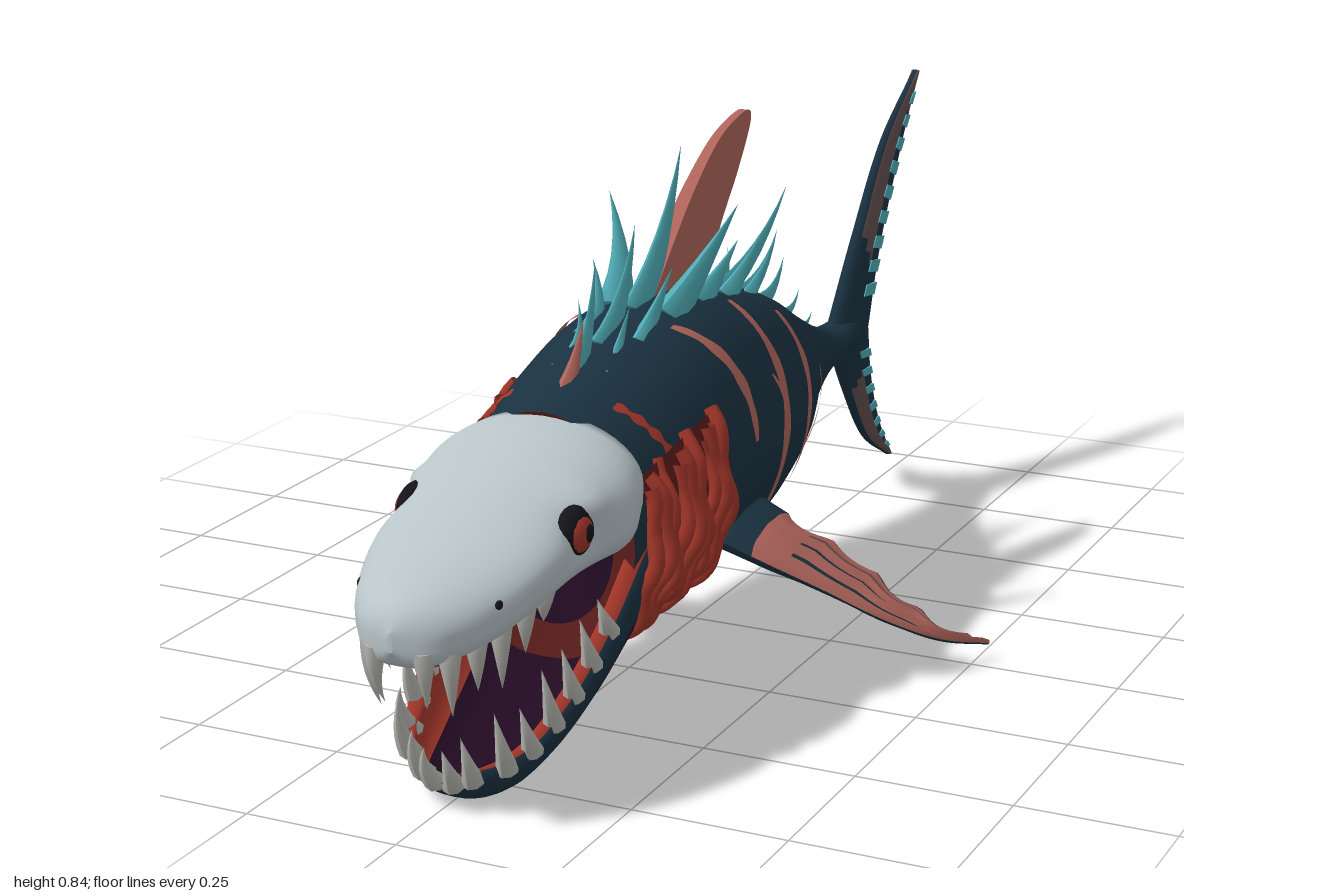
import * as THREE from 'three';

const mat = (name, color) => {
  const m = new THREE.MeshStandardMaterial({ color, side: THREE.DoubleSide });
  m.name = name;
  return m;
};
const M = {
  hide: mat('deep blue hide', 0x1a3140), bone: mat('pale bone', 0xb8c4c8),
  salmon: mat('salmon stripe', 0xb0655b), red: mat('gill red', 0xa33629),
  darkRed: mat('dark red', 0x5a1c1a), cyan: mat('cyan spine', 0x50adb7),
  brown: mat('fin brown', 0x634f50), mouth: mat('mouth purple', 0x210a21),
  tooth: mat('tooth', 0xb5b6b0), black: mat('near black', 0x14141a),
};
const V = (x, y, z) => new THREE.Vector3(x, y, z);
const lerp = THREE.MathUtils.lerp;

// Smooth lookup in a table of rows [z, value, value, ...]
function profile(rows) {
  const size = rows[0].length - 1;
  const c = new THREE.CubicInterpolant(rows.map(r => r[0]), rows.flatMap(r => r.slice(1)), size, new Float32Array(size));
  return z => Array.from(c.evaluate(z));
}

// Closed rings skinned into one smooth mesh; pick(i, j) gives the material number
function loft(name, rings, mats, pick = () => 0) {
  const n = rings[0].length, buckets = mats.map(() => []);
  for (let i = 0; i < rings.length - 1; i++) for (let j = 0; j < n; j++) {
    const k = (j + 1) % n, a = i * n + j, b = i * n + k, c = a + n, d = b + n;
    buckets[pick(i, j)].push(a, b, d, a, d, c);
  }
  const g = new THREE.BufferGeometry().setFromPoints(rings.flat());
  g.setIndex(buckets.flat());
  let start = 0;
  buckets.forEach((b, i) => { g.addGroup(start, b.length, i); start += b.length; });
  g.computeVertexNormals();
  const mesh = new THREE.Mesh(g, mats);
  mesh.name = name;
  return mesh;
}

// Curved tapering spike from base to tip, bowed by the bend vector
function spike(name, base, tip, r, m, bend = V(0, 0, 0), flat = 1) {
  const g = new THREE.ConeGeometry(r, 1, 8, 6), p = g.attributes.position;
  const dir = tip.clone().sub(base);
  const q = new THREE.Quaternion().setFromUnitVectors(V(0, 1, 0), dir.clone().normalize());
  for (let i = 0; i < p.count; i++) {
    const t = p.getY(i) + 0.5;
    const v = V(p.getX(i) * flat, 0, p.getZ(i)).applyQuaternion(q).add(base)
      .addScaledVector(dir, t).addScaledVector(bend, 4 * t * (1 - t));
    p.setXYZ(i, v.x, v.y, v.z);
  }
  g.computeVertexNormals();
  const mesh = new THREE.Mesh(g, m);
  mesh.name = name;
  return mesh;
}

// Upright plate from an outline of [z, y] points
function plate(name, pts, thick, m, smooth = true) {
  const v = pts.map(p => new THREE.Vector2(...p)), s = new THREE.Shape();
  s.moveTo(v[0].x, v[0].y);
  if (smooth) s.splineThru(v.slice(1)); else v.slice(1).forEach(p => s.lineTo(p.x, p.y));
  const g = new THREE.ExtrudeGeometry(s, { depth: thick, bevelEnabled: false, curveSegments: 24 });
  g.translate(0, 0, -thick / 2).rotateY(-Math.PI / 2);
  const mesh = new THREE.Mesh(g, m);
  mesh.name = name;
  return mesh;
}

// Body and skull rows: z, top, bottom, half width
const bodyAt = profile([[-0.74, 0.36, 0.31, 0.012], [-0.66, 0.375, 0.31, 0.03], [-0.58, 0.375, 0.315, 0.043],
  [-0.5, 0.395, 0.295, 0.046], [-0.4, 0.44, 0.255, 0.066], [-0.2, 0.535, 0.19, 0.135], [0, 0.59, 0.15, 0.178],
  [0.2, 0.615, 0.14, 0.193], [0.35, 0.585, 0.135, 0.188], [0.5, 0.535, 0.12, 0.165], [0.56, 0.512, 0.12, 0.15]]);
const skullAt = profile([[0.52, 0.515, 0.33, 0.16], [0.57, 0.51, 0.32, 0.175], [0.64, 0.49, 0.315, 0.168],
  [0.72, 0.458, 0.31, 0.155], [0.8, 0.428, 0.3, 0.146], [0.88, 0.398, 0.278, 0.122], [0.95, 0.372, 0.268, 0.084],
  [0.985, 0.35, 0.272, 0.045], [1, 0.325, 0.295, 0.004]]);
// Jaw rows: z, rim, bottom, half width
const jawAt = profile([[0.4, 0.36, 0.14, 0.175], [0.5, 0.33, 0.105, 0.165], [0.6, 0.225, 0.06, 0.15],
  [0.72, 0.13, 0.018, 0.128], [0.8, 0.085, 0.004, 0.1], [0.84, 0.07, 0.015, 0.065], [0.865, 0.055, 0.045, 0.006]]);

const pw = (v, e) => Math.sign(v) * Math.abs(v) ** e;
function oval([top, bot, w], z, a, e = 1, off = 0) {
  return V((w + off) * pw(Math.cos(a), e), (top + bot) / 2 + ((top - bot) / 2 + off) * pw(Math.sin(a), e), z);
}
const onBody = (z, a, off = 0) => oval(bodyAt(z), z, a, 1, off);

// Ribbon painted on the body between angles a0 and a1
function ribbon(name, zAt, half, a0, a1, off, m) {
  const pts = [], idx = [], n = 24;
  for (let i = 0; i <= n; i++) {
    const t = i / n, a = lerp(a0, a1, t), h = half(t), z = zAt(t);
    for (let k = 0; k < 5; k++) pts.push(onBody(z + h * (k / 2 - 1), a, off));
    if (i < n) for (let k = 0; k < 4; k++) { const q = i * 5 + k; idx.push(q, q + 5, q + 6, q, q + 6, q + 1); }
  }
  const g = new THREE.BufferGeometry().setFromPoints(pts);
  g.setIndex(idx);
  g.computeVertexNormals();
  const mesh = new THREE.Mesh(g, m);
  mesh.name = name;
  return mesh;
}

// Everything that exists once on each side, made for +x
function makeSide() {
  const s = new THREE.Group();
  // Flank stripes: z at the top, z at the bottom, half width, top angle, bottom angle
  [[0.255, 0.18, 0.014, 1.15, 0.08], [0.03, 0.08, 0.017, 1.15, -0.7], [-0.125, -0.08, 0.017, 0.95, -0.6],
    [-0.28, -0.235, 0.015, 0.25, -0.75], [0.065, 0.045, 0.009, 0.45, -0.1]].forEach(([z0, z1, h, a0, a1]) =>
    s.add(ribbon('flankStripe', t => lerp(z0, z1, t) - 0.022 * Math.sin(t * Math.PI),
      t => h * Math.sin(Math.PI * (0.15 + 0.7 * t)) * (1 + 0.15 * Math.sin(t * 23)), a0, a1, 0.004, M.salmon)));
  // Ragged gills
  s.add(ribbon('gillBed', t => 0.4 + 0.012 * Math.sin(t * 14), t => 0.1 + 0.012 * Math.sin(t * 31), 0.5, -1.05, 0.005, M.darkRed));
  for (let k = 0; k < 9; k++) {
    const pts = [];
    for (let i = 0; i <= 14; i++) {
      const t = i / 14, a = lerp(0.52 - 0.07 * (k % 3), -1.1 + 0.1 * (k % 2), t);
      pts.push(onBody(0.305 + k * 0.025 + 0.008 * Math.sin(t * 8 + k * 2.1), a, 0.003 + 0.008 * Math.sin(t * Math.PI) + 0.006 * Math.sin(t * 19 + k * 1.7)));
    }
    const rib = new THREE.Mesh(new THREE.TubeGeometry(new THREE.CatmullRomCurve3(pts), 40, k % 4 === 2 ? 0.01 : 0.013, 6), M.red);
    rib.name = 'gillRib';
    s.add(rib);
  }
  // Thin red fringe running up the nape
  s.add(ribbon('napeFringe', t => 0.47 - 0.04 * t, t => 0.007 * (1 + 0.4 * Math.sin(t * 20)), 1.05, 0.5, 0.005, M.red));
  // Eye in its socket, and the nostril
  const ball = (name, m, r, x, y, z, sx, sy, sz) => {
    const b = new THREE.Mesh(new THREE.SphereGeometry(r, 20, 14), m);
    b.name = name; b.position.set(x, y, z); b.scale.set(sx, sy, sz);
    s.add(b);
  };
  ball('eyeSocket', M.black, 0.047, 0.131, 0.397, 0.693, 0.52, 0.88, 1);
  ball('eye', M.red, 0.034, 0.136, 0.397, 0.697, 0.7, 0.95, 1);
  ball('pupil', M.black, 0.016, 0.152, 0.398, 0.694, 0.65, 1, 1);
  ball('nostril', M.black, 0.012, 0.111, 0.345, 0.885, 0.6, 0.8, 1);
  // Upper and lower teeth: z, length
  [[0.984, 0.085], [0.955, 0.1], [0.915, 0.075], [0.87, 0.095], [0.82, 0.07], [0.775, 0.045]].forEach(([z, l]) => {
    const [, bot, w] = skullAt(z), x = w * 0.78;
    s.add(spike('upperTooth', V(x, bot + 0.025, z - 0.012), V(x * 0.94, bot - l + 0.015, z - 0.025), 0.019, M.tooth, V(0.005, 0, 0.008)));
  });
  [[0.861, 0.06], [0.85, 0.075], [0.82, 0.1], [0.78, 0.075], [0.735, 0.1], [0.69, 0.085], [0.645, 0.08], [0.6, 0.055]].forEach(([z, l]) => {
    const [rim, , w] = jawAt(z), x = w * 0.92;
    s.add(spike('lowerTooth', V(x, rim - 0.018, z - 0.006), V(x * 0.98, rim + l * 0.85, z + 0.028), 0.018, M.tooth, V(0.005, 0, 0.008)));
  });
  // Paired back spines: base z, tip x, y, z, radius
  [[0.4, 0.045, 0.64, 0.33, 0.022], [0.3, 0.07, 0.68, 0.23, 0.03], [0.2, 0.115, 0.755, 0.08, 0.046],
    [0.09, 0.07, 0.67, -0.02, 0.036], [-0.02, 0.055, 0.645, -0.14, 0.032], [-0.12, 0.04, 0.6, -0.22, 0.024]].forEach(([z, x, y, tz, r]) =>
    s.add(spike('sideSpine', onBody(z, 1.28, -0.018), V(x, y, tz), r, M.cyan, V(-0.01, -0.014, -0.014), 0.55)));
  // Pectoral fin: rows of span, x, y, leading z, trailing z, thickness
  const finAt = profile([[0, 0.14, 0.25, 0.24, 0.08, 0.08], [0.2, 0.21, 0.222, 0.235, 0.075, 0.058], [0.45, 0.31, 0.168, 0.19, 0.042, 0.032],
    [0.7, 0.41, 0.105, 0.13, 0.04, 0.018], [0.88, 0.475, 0.06, 0.055, 0.01, 0.01], [1, 0.518, 0.032, -0.03, -0.036, 0.002]]);
  const rings = [], n = 16;
  for (let i = 0; i <= 40; i++) {
    const u = i / 40, [x, y, zl, zt, th] = finAt(u), ring = [];
    const notch = u > 0.2 && u < 0.97 ? 0.022 * Math.abs(Math.sin(u * 17)) : 0;
    for (let k = 0; k <= 2 * n + 1; k++) {
      const top = k <= n, v = (top ? k : 2 * n + 1 - k) / n;
      const lift = th * Math.sqrt(Math.max(0, 1 - (2 * v - 1) ** 2)) * 0.5 + 0.001;
      ring.push(V(x, y + (top ? lift : -lift) + 0.015 * v * (1 - u) + (top ? 0.004 * Math.sin(v * 20) * u : 0), lerp(zl, zt + notch, v)));
    }
    rings.push(ring);
  }
  s.add(loft('pectoralFin', rings, [M.hide, M.salmon, M.brown], (i, j) => {
    if (i < 8 || j > 2 * n - 5) return 0;
    if (j > n) return 2;
    return j % 4 === 3 && i > 12 && i < 35 ? (j > 8 ? 2 : 0) : 1;
  }));
  return s;
}

export function createModel() {
  const root = new THREE.Group();
  root.name = 'seaPredator';
  // Cross-section with a round top and an underside squared by e
  const ring = (at, z, n, e) => Array.from({ length: n }, (_, j) => oval(at(z), z, j / n * Math.PI * 2, j > n / 2 ? e : 1));

  // Body, closed at the front by a red-edged throat
  const body = Array.from({ length: 49 }, (_, i) => ring(bodyAt, lerp(-0.74, 0.54, i / 48), 36, 1));
  root.add(loft('body', body, [M.hide]));
  const rim = body[48], center = V(0, 0.3, 0.47);
  root.add(loft('throat', [rim, rim.map(p => p.clone().lerp(center, 0.3)), rim.map(() => center)], [M.darkRed, M.mouth], i => i));

  // Skull with brow, sunken sockets and dark palate
  const skull = Array.from({ length: 45 }, (_, i) => ring(skullAt, 0.52 + 0.48 * Math.sin(i / 44 * Math.PI / 2), 40, 0.62));
  skull.flat().forEach(p => {
    const bump = (y, z, r) => Math.exp(-((p.y - y) ** 2 + (p.z - z) ** 2) / r ** 2);
    p.x *= 1 - 0.13 * bump(0.395, 0.69, 0.04) + 0.12 * bump(0.445, 0.67, 0.03) + 0.05 * bump(0.35, 0.6, 0.04);
  });
  skull.unshift(skull[0].map(() => V(0, 0.43, 0.52)));
  skull.push(skull[45].map(() => V(0, 0.31, 1)));
  root.add(loft('skull', skull, [M.bone, M.darkRed], (i, j) => (i < 32 && j > 25 && j < 34 ? 1 : 0)));

  // Scooped lower jaw: hide outside, purple inside, red gums
  const jaw = [], n = 20;
  for (let i = 0; i <= 32; i++) {
    const z = lerp(0.4, 0.865, Math.sin(i / 32 * Math.PI / 2)), [top, bot, w] = jawAt(z);
    jaw.push(Array.from({ length: 2 * n + 2 }, (_, k) => {
      const outer = k <= n, a = Math.PI * (1 + (outer ? k : 2 * n + 1 - k) / n), f = outer ? 1 : 0.82;
      return V(w * f * pw(Math.cos(a), 0.85), top + (top - bot) * f * pw(Math.sin(a), 0.85), z);
    }));
  }
  root.add(loft('lowerJaw', jaw, [M.hide, M.mouth, M.red], (i, j) => {
    if (j === n || j === 2 * n + 1) return 2;
    if (j > n) return j < n + 6 || j > 2 * n - 5 ? 2 : 1;
    return i > 3 + j % 2 && i < 14 - Math.abs(j - 10) * 0.7 && Math.abs(j - 9.5) < 7 ? 1 : 0;
  }));

  // Mirrored parts
  const left = makeSide(), right = makeSide();
  left.name = 'leftSide'; right.name = 'rightSide';
  right.scale.x = -1;
  root.add(left, right);

  // Dorsal fin, thinning toward its tip
  const dorsal = plate('dorsalFin', [[0.2, 0.59], [0.1, 0.68], [0, 0.76], [-0.1, 0.82], [-0.2, 0.845], [-0.22, 0.825],
    [-0.16, 0.75], [-0.09, 0.68], [-0.03, 0.61], [0, 0.56]], 0.04, M.salmon);
  const dp = dorsal.geometry.attributes.position;
  for (let i = 0; i < dp.count; i++) dp.setX(i, dp.getX(i) * lerp(1, 0.35, (dp.getY(i) - 0.56) / 0.29) - 0.006);
  dorsal.geometry.computeVertexNormals();
  root.add(dorsal);

  // Ridge spines and belly barbs: base z, tip y, tip z, radius
  [[0.44, 0.71, 0.36, 0.03], [0.34, 0.74, 0.22, 0.036], [0.22, 0.835, 0.05, 0.042], [-0.1, 0.68, -0.38, 0.03],
    [-0.18, 0.61, -0.34, 0.028], [-0.25, 0.555, -0.37, 0.024], [-0.33, 0.48, -0.44, 0.018], [-0.4, 0.425, -0.5, 0.014]].forEach(([z, y, tz, r]) =>
    root.add(spike('ridgeSpine', onBody(z, Math.PI / 2, -0.02), V(0, y, tz), r, M.cyan, V(0, -0.018, -0.014), 0.4)));
  root.add(spike('napeSpine', onBody(0.46, Math.PI / 2, -0.02), V(0, 0.63, 0.4), 0.024, M.salmon, V(0, -0.01, 0), 0.7));
  [-0.06, -0.2, -0.28, -0.36].forEach(z => {
    const b = onBody(z, -Math.PI / 2, -0.01);
    root.add(spike('bellyBarb', b, V(0, b.y - 0.032, z - 0.025), 0.01, M.hide));
  });

  // Tail fin: leading and trailing edges of each lobe, from root to tip
  const lobes = [
    { lead: [[-0.58, 0.36], [-0.7, 0.52], [-0.83, 0.675], [-0.995, 0.78]], trail: [[-0.755, 0.33], [-0.81, 0.47], [-0.9, 0.62], [-1, 0.775]] },
    { lead: [[-0.58, 0.35], [-0.66, 0.23], [-0.76, 0.11], [-0.885, 0.04]], trail: [[-0.755, 0.34], [-0.775, 0.24], [-0.82, 0.14], [-0.892, 0.045]] },
  ];
  lobes.forEach(({ lead, trail }, side) => {
    const curve = e => new THREE.CatmullRomCurve3(e.map(([z, y]) => V(0, y, z)));
    const L = curve(lead), T = curve(trail);
    const at = (u, v) => L.getPoint(u).lerp(T.getPoint(u), v);
    const rings = [], m = 12;
    for (let i = 0; i <= 24; i++) {
      const u = i / 24, th = lerp(0.024, 0.008, u);
      rings.push(Array.from({ length: 2 * m }, (_, k) => {
        const v = k <= m ? k / m : 2 - k / m, p = at(u, v);
        p.x = (k <= m ? 1 : -1) * th * Math.sqrt(Math.max(0, v * (1 - v))) * 2;
        return p;
      }));
    }
    root.add(loft(side ? 'lowerTailLobe' : 'upperTailLobe', rings, [M.brown, M.hide], (i, j) => {
      const v = j < m ? j : 2 * m - 1 - j;
      return v === 0 || i < 8 - v * 0.4 || (v > 5 && v < 10 && i < 20) ? 1 : 0;
    }));
    const count = side ? 7 : 9;
    for (let k = 0; k < count; k++) {
      const u = lerp(0.13, 0.86, k / (count - 1)), thick = lerp(0.024, 0.008, u) * 2 + 0.003;
      const pts = [[u, 0.46], [u + 0.045, 0.48], [u + 0.062, 0.8], [u + 0.012, 0.78]].map(([a, v]) => { const p = at(a, v); return [p.z, p.y]; });
      root.add(plate('tailDash', pts, thick, M.cyan, false));
    }
  });
  return root;
}
